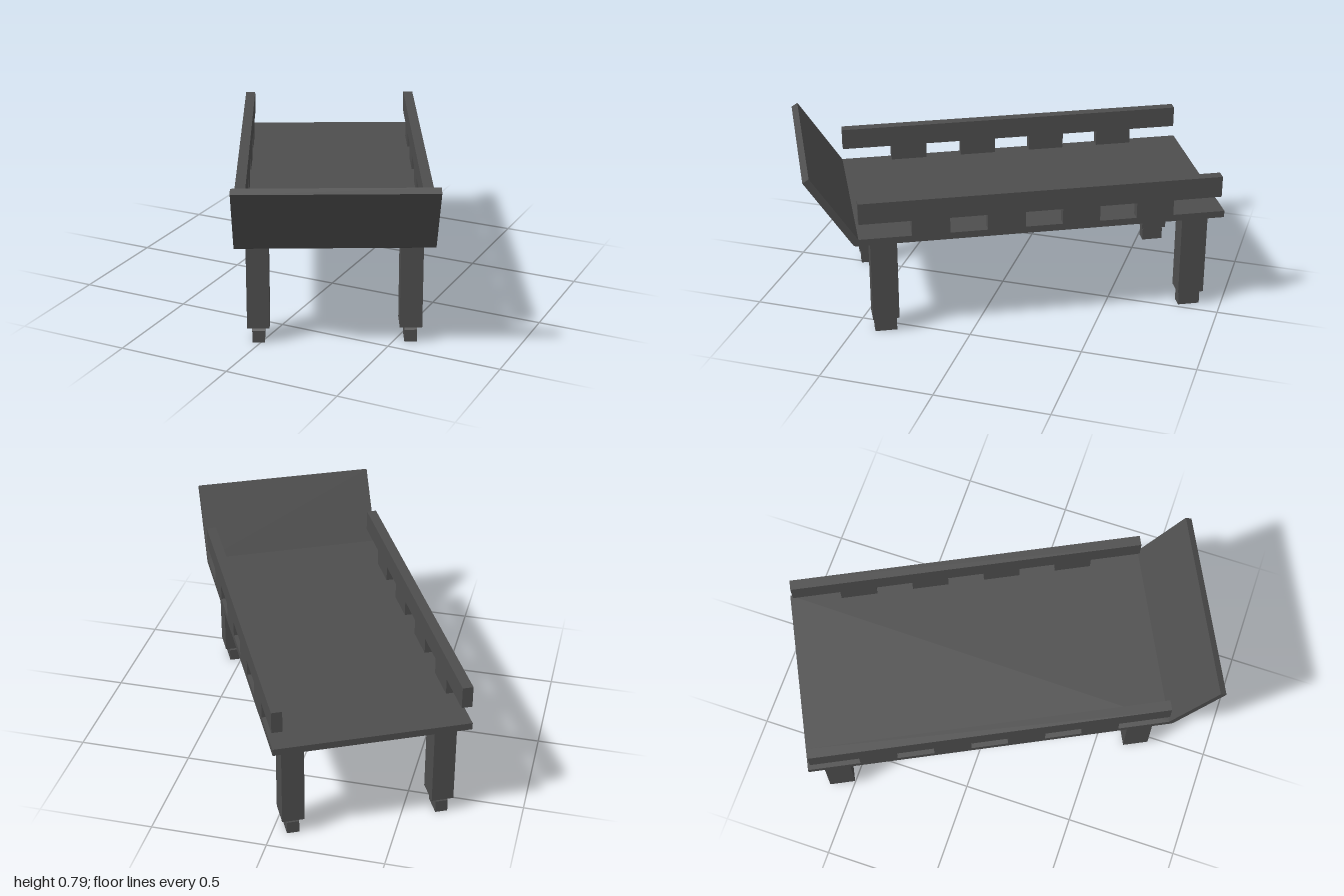
import * as THREE from 'three';

const material = new THREE.MeshStandardMaterial({ color: 0x4d4d4d, flatShading: true });

// Extrudes a (z, y) side profile across x, centred on x = 0
function sideExtrude(points, width) {
  const shape = new THREE.Shape(points.map(([z, y]) => new THREE.Vector2(z, y)));
  const geometry = new THREE.ExtrudeGeometry(shape, { depth: width, bevelEnabled: false });
  geometry.translate(0, 0, -width / 2);
  geometry.rotateY(-Math.PI / 2);
  return geometry;
}

export function createModel() {
  const model = new THREE.Group();
  model.name = 'slatBed';
  const body = new THREE.Group();
  body.name = 'body';
  body.rotation.y = Math.atan(0.5); // the whole piece stands turned
  model.add(body);

  function add(name, geometry, x = 0, y = 0, z = 0, parent = body) {
    const mesh = new THREE.Mesh(geometry, material);
    mesh.name = name;
    mesh.position.set(x, y, z);
    parent.add(mesh);
    return mesh;
  }

  const width = 0.83;
  const deckTop = 0.49;

  // Flat deck
  add('deck', sideExtrude([[-0.907, 0.46], [0.7, 0.46], [0.69, deckTop], [-0.907, deckTop]], width));

  // Sloping front board
  add('frontBoard', sideExtrude(
    [[0.688, deckTop], [0.69, 0.46], [0.701, 0.46], [0.711, 0.467], [0.907, 0.77], [0.88, 0.787]], width));

  // Side rails: top bar on four posts, overhanging at both ends
  const railStart = -0.89, railEnd = 0.685, barBottom = 0.56, barTop = 0.655;
  const profile = [[railEnd, barTop], [railStart, barTop], [railStart, barBottom]];
  for (let i = 0; i < 4; i++) {
    const a = -0.677 + i * 0.325, b = a + 0.163;
    profile.push([a, barBottom], [a, deckTop], [b, deckTop], [b, barBottom]);
  }
  profile.push([railEnd, barBottom]);
  const railThickness = 0.045;
  const railGeometry = sideExtrude(profile, railThickness);

  // Square legs on small feet with bevelled tops
  const legGeometry = new THREE.BoxGeometry(0.095, 0.39, 0.115);
  const footGeometry = sideExtrude(
    [[-0.048, 0], [0.048, 0], [0.048, 0.055], [0.035, 0.072], [-0.035, 0.072], [-0.048, 0.055]], 0.053);

  for (const [side, s] of [['left', 1], ['right', -1]]) {
    add(side + 'Rail', railGeometry, s * (width - railThickness) / 2);
    for (const [end, z] of [['Front', 0.579], ['Back', -0.79]]) {
      const leg = new THREE.Group();
      leg.name = side + end + 'Leg';
      leg.position.set(s * 0.322, 0, z);
      body.add(leg);
      add('post', legGeometry, 0, 0.265, 0, leg);
      add('foot', footGeometry, 0, 0, 0, leg);
    }
  }
  return model;
}
